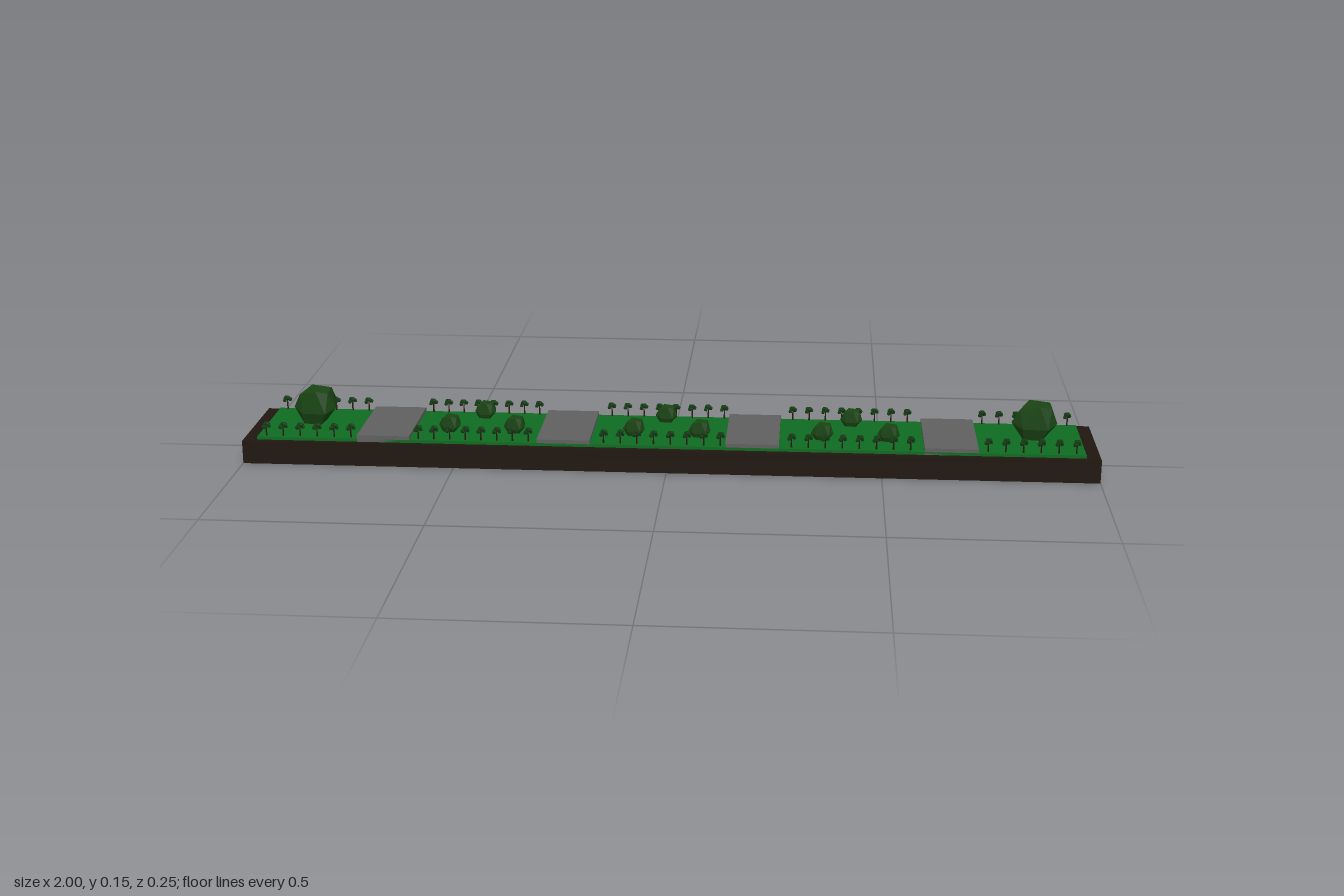
import * as THREE from 'three';
import { ConvexGeometry } from 'three/addons/geometries/ConvexGeometry.js';

const mat = (color) => new THREE.MeshStandardMaterial({ color, flatShading: true });
const soil = mat(0x20160f), grass = mat(0x0f6b22), paving = mat(0x606060);
const bush = mat(0x1a4414), leaf = mat(0x123a12), bark = mat(0x2a1a0e);

export function createModel() {
  const model = new THREE.Group();

  const add = (name, geometry, material, x, y, z, parent = model) => {
    const mesh = new THREE.Mesh(geometry, material);
    mesh.name = name;
    mesh.position.set(x, y, z);
    parent.add(mesh);
    return mesh;
  };
  const slab = (name, material, x0, x1, y0, y1, z0, z1) =>
    add(name, new THREE.BoxGeometry(x1 - x0, y1 - y0, z1 - z0), material,
      (x0 + x1) / 2, (y0 + y1) / 2, (z0 + z1) / 2);

  // Soil block, lawn and the four raised crossing paths
  slab('soilBase', soil, -1, 1, 0, 0.055, -0.126, 0.126);
  slab('lawn', grass, -0.967, 0.967, 0.05, 0.062, -0.111, 0.112);
  for (const x of [-0.667, -0.242, 0.199, 0.659])
    slab('path', paving, x - 0.062, x + 0.062, 0.055, 0.071, -0.111, 0.112);

  // Faceted bush: convex hull, offsets from its centre on the ground
  const bushGeometry = new ConvexGeometry([
    [-0.025, 0, 0.022], [0.015, 0, 0.028], [0.02, 0, -0.015], [-0.015, 0, -0.02],
    [-0.053, 0.038, 0.002], [-0.028, 0.03, 0.033], [0.03, 0.032, 0.042],
    [0.052, 0.042, 0.02], [0.042, 0.04, -0.044], [-0.01, 0.035, -0.042],
    [-0.036, 0.072, 0.012], [0.008, 0.086, 0.036], [0.036, 0.08, 0.03],
    [0.036, 0.084, -0.012], [-0.012, 0.088, -0.018], [0.028, 0.062, -0.04],
  ].map((p) => new THREE.Vector3(...p)));
  const addBush = (name, x, y, z, scale) =>
    add(name, bushGeometry, bush, x, y, z).scale.setScalar(scale);

  for (const x of [-0.853, 0.857]) addBush('largeBush', x, 0.06, -0.016, 1);
  for (const x of [-0.452, -0.013, 0.43]) {
    addBush('smallBush', x, 0.057, -0.077, 0.5);
    addBush('smallBush', x - 0.069, 0.057, 0.031, 0.5);
    addBush('smallBush', x + 0.086, 0.057, 0.031, 0.5);
  }

  // Small tree: thin trunk with a lumpy crown
  const trunk = new THREE.CylinderGeometry(0.0014, 0.0022, 0.024, 5);
  const lump = new THREE.IcosahedronGeometry(1, 0);
  const addTree = (x, z, side) => {
    const tree = new THREE.Group();
    tree.name = 'tree';
    add('trunk', trunk, bark, 0, 0.012, 0, tree);
    add('crown', lump, leaf, 0.001, 0.03, 0, tree).scale.set(0.009, 0.0065, 0.008);
    add('crownSide', lump, leaf, -0.005, 0.025, 0.006, tree).scale.setScalar(0.0055);
    add('crownSide', lump, leaf, 0.006, 0.024, -0.003, tree).scale.setScalar(0.005);
    tree.position.set(x, 0.06, z);
    tree.scale.z = side;
    // Keep the winding correct by turning rather than mirroring
    if (side < 0) { tree.scale.z = 1; tree.rotation.y = Math.PI; }
    model.add(tree);
  };

  // Tree rows along both long edges of each lawn section: [first x, last x, count]
  for (const [x0, x1, count] of [
    [-0.947, -0.745, 6], [-0.585, -0.325, 8], [-0.148, 0.125, 8],
    [0.29, 0.565, 8], [0.743, 0.945, 6],
  ]) {
    for (let i = 0; i < count; i++) {
      const x = x0 + ((x1 - x0) * i) / (count - 1);
      addTree(x, 0.1, 1);
      addTree(x, -0.105, -1);
    }
  }
  return model;
}
